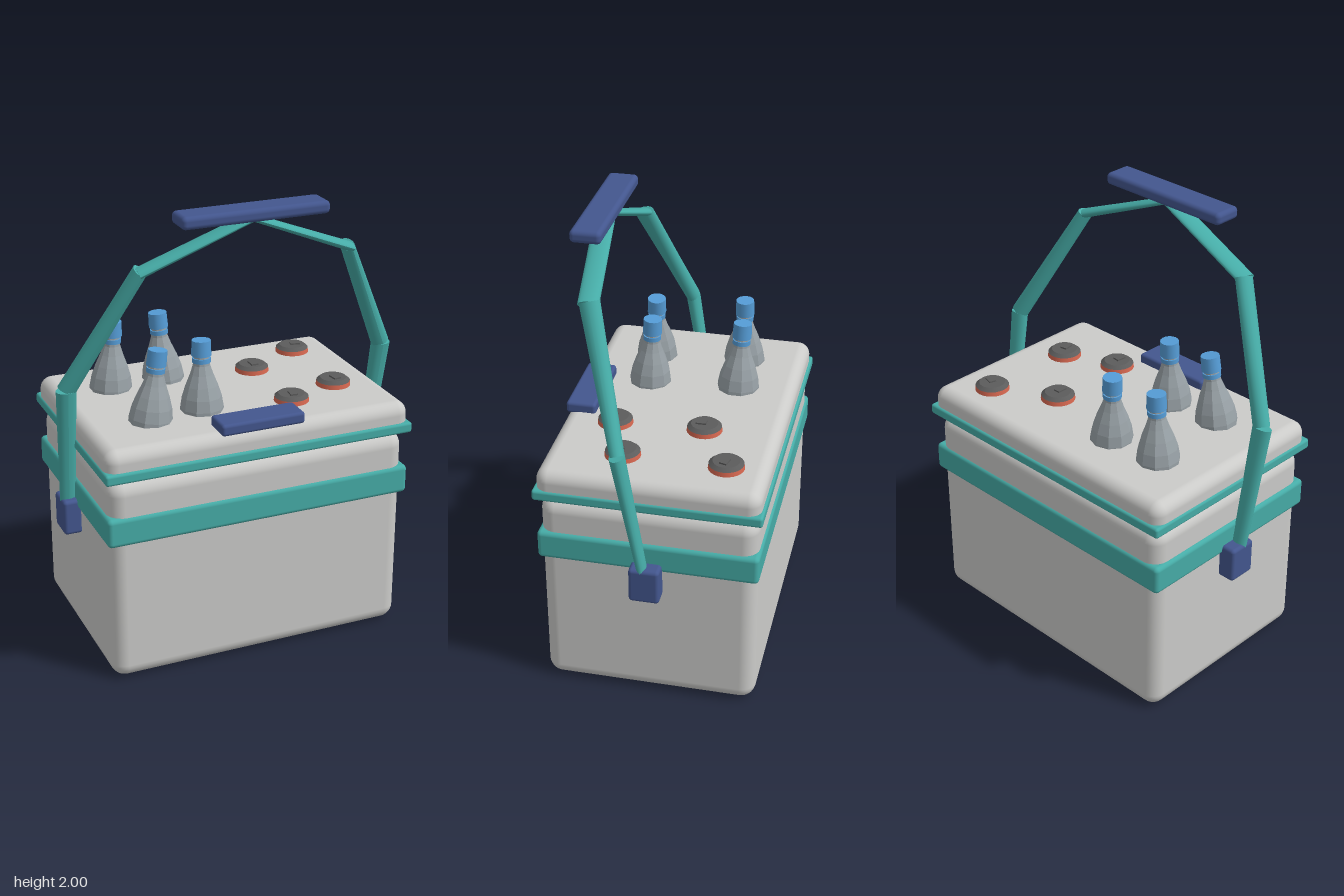
import * as THREE from 'three';
import { RoundedBoxGeometry } from 'three/addons/geometries/RoundedBoxGeometry.js';

const mat = (name, color, extra = {}) => Object.assign(new THREE.MeshStandardMaterial({ color, ...extra }), { name });

export function createModel() {
  const shell = mat('pale grey', 0xcbcbc9);
  const teal = mat('teal', 0x46aca7);
  const navy = mat('navy blue', 0x43568e);
  const glass = mat('bottle grey', 0x98a1a6, { flatShading: true });
  const capBlue = mat('cap blue', 0x559cd6);
  const red = mat('can red', 0xd4664f);
  const darkGrey = mat('can lid grey', 0x5c5c5c);
  const baseGrey = mat('base grey', 0x868f95);

  const model = new THREE.Group();
  model.name = 'coolBox';

  const add = (parent, name, geometry, material, x = 0, y = 0, z = 0) => {
    const mesh = new THREE.Mesh(geometry, material);
    mesh.name = name;
    mesh.position.set(x, y, z);
    parent.add(mesh);
    return mesh;
  };
  // Rounded box given by its full width, bottom, top, z range and edge radius
  const block = (name, material, x0, x1, y0, y1, z0, z1, r) => add(model, name,
    new RoundedBoxGeometry(x1 - x0, y1 - y0, z1 - z0, 4, r), material,
    (x0 + x1) / 2, (y0 + y1) / 2, (z0 + z1) / 2);

  // Box, band, lid and rim
  block('body', shell, -0.682, 0.682, 0.003, 0.935, -0.465, 0.465, 0.065);
  add(model, 'basePlate', new THREE.BoxGeometry(1.23, 0.006, 0.8), baseGrey, 0, 0.003, 0);
  block('band', teal, -0.697, 0.697, 0.65, 0.78, -0.475, 0.475, 0.02);
  block('lid', shell, -0.697, 0.697, 0.925, 1.08, -0.475, 0.475, 0.055);
  block('lidRim', teal, -0.704, 0.704, 0.942, 0.99, -0.486, 0.486, 0.012);
  block('latch', navy, -0.19, 0.19, 1.07, 1.122, 0.345, 0.477, 0.014);

  // Handle: tapered oval bars, each end given as [x, y, z, half width, half depth]
  const bars = [
    [[0.722, 0.6, 0, 0.034, 0.02], [0.74, 1.23, 0.105, 0.045, 0.032]],
    [[0.738, 1.23, 0.103, 0.042, 0.03], [0.465, 1.765, 0.275, 0.028, 0.045]],
    [[0.475, 1.757, 0.278, 0.02, 0.045], [0, 1.95, 0.325, 0.014, 0.045]],
  ];
  const barGeometry = (a, b, side) => {
    const p = new THREE.Vector3(a[0] * side, a[1], a[2]);
    const q = new THREE.Vector3(b[0] * side, b[1], b[2]);
    const dir = q.clone().sub(p);
    const length = dir.length();
    dir.normalize();
    const across = new THREE.Vector3().crossVectors(dir, new THREE.Vector3(0, 0, 1)).normalize();
    const depth = new THREE.Vector3().crossVectors(across, dir);
    const g = new THREE.CylinderGeometry(1, 1, length, 16);
    const pos = g.attributes.position;
    for (let i = 0; i < pos.count; i++) {
      const t = pos.getY(i) / length + 0.5;
      pos.setX(i, pos.getX(i) * THREE.MathUtils.lerp(a[3], b[3], t));
      pos.setZ(i, pos.getZ(i) * THREE.MathUtils.lerp(a[4], b[4], t));
    }
    g.applyMatrix4(new THREE.Matrix4().makeBasis(across, dir, depth)
      .setPosition(p.add(q).multiplyScalar(0.5)));
    // Normals after the taper, keeping the wall seam and end edges
    g.computeVertexNormals();
    return g;
  };
  for (const side of [1, -1]) {
    const label = side > 0 ? 'left' : 'right';
    bars.forEach(([a, b], i) => add(model, `${label}HandleBar${i + 1}`, barGeometry(a, b, side), teal));
    add(model, `${label}HandleMount`, new RoundedBoxGeometry(0.085, 0.162, 0.132, 3, 0.016), navy,
      side * 0.717, 0.611, 0);
  }
  block('grip', navy, -0.325, 0.325, 1.945, 2, 0.262, 0.395, 0.02);

  // Bottles lean a little: [x, z] at the lid, then [x, z] at the cap
  const bottleProfile = [[0, -0.15], [0.092, -0.15], [0.094, 0.01], [0.086, 0.06], [0.07, 0.11],
    [0.05, 0.16], [0.037, 0.2], [0.033, 0.26]].map(([r, y]) => new THREE.Vector2(r, y));
  const bottleGeometry = new THREE.LatheGeometry(bottleProfile, 10);
  const ringGeometry = new THREE.CylinderGeometry(0.04, 0.04, 0.02, 16);
  const capGeometry = new THREE.CylinderGeometry(0.041, 0.043, 0.068, 16);
  [
    [-0.44, -0.2, -0.425, -0.2],
    [-0.185, -0.218, -0.203, -0.23],
    [-0.405, 0.205, -0.365, 0.197],
    [-0.16, 0.18, -0.157, 0.167],
  ].forEach(([x, z, cx, cz], i) => {
    const bottle = new THREE.Group();
    bottle.name = `bottle${i + 1}`;
    bottle.position.set(x, 1.08, z);
    bottle.quaternion.setFromUnitVectors(new THREE.Vector3(0, 1, 0),
      new THREE.Vector3(cx - x, 0.3, cz - z).normalize());
    add(bottle, 'bottleBody', bottleGeometry, glass);
    add(bottle, 'capRing', ringGeometry, capBlue, 0, 0.222, 0);
    add(bottle, 'cap', capGeometry, capBlue, 0, 0.276, 0);
    model.add(bottle);
  });

  // Cans: [x, z, tab turn]
  const canGeometry = new THREE.CylinderGeometry(0.074, 0.081, 0.04, 24);
  const lidGeometry = new THREE.CylinderGeometry(0.058, 0.075, 0.014, 24);
  const tabGeometry = new THREE.BoxGeometry(0.032, 0.008, 0.046);
  [
    [0.22, -0.147, 0],
    [0.492, -0.295, 1.3],
    [0.485, 0.147, 0.15],
    [0.235, 0.242, -0.1],
  ].forEach(([x, z, turn], i) => {
    const can = new THREE.Group();
    can.name = `can${i + 1}`;
    can.position.set(x, 1.08, z);
    can.rotation.y = turn;
    add(can, 'canBody', canGeometry, red);
    add(can, 'canLid', lidGeometry, darkGrey, 0, 0.027, 0);
    add(can, 'canTab', tabGeometry, darkGrey, 0, 0.037, 0.014);
    model.add(can);
  });

  return model;
}
